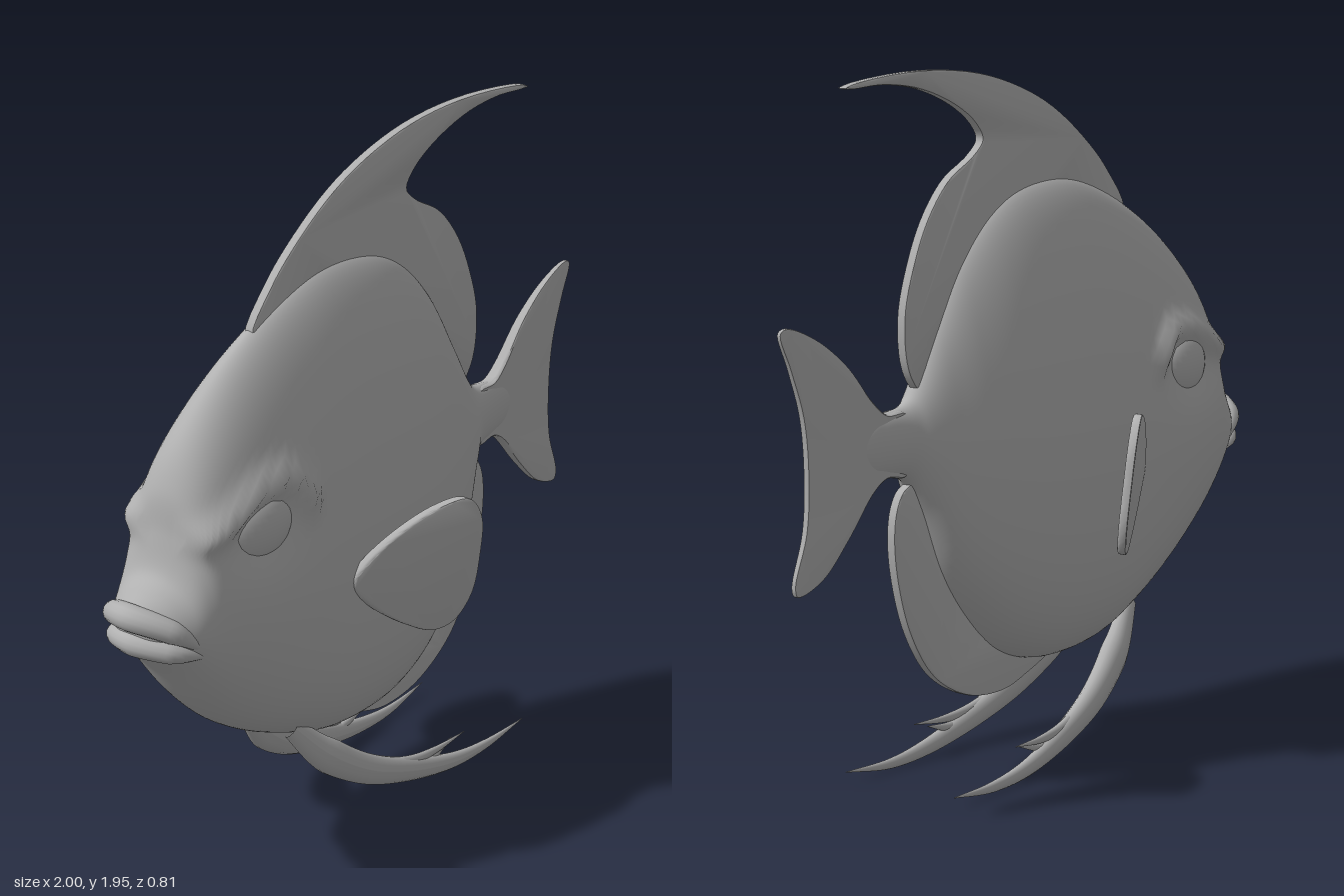
import * as THREE from 'three';
import { toCreasedNormals } from 'three/addons/utils/BufferGeometryUtils.js';

const V = (x, y, z = 0) => new THREE.Vector3(x, y, z);
const clamp01 = (t) => Math.min(1, Math.max(0, t));

export function createModel() {
  const model = new THREE.Group();
  const skin = new THREE.MeshStandardMaterial({ color: 0xb0b0b0 });
  skin.name = 'grey skin';
  const add = (name, geometry) => {
    const mesh = new THREE.Mesh(geometry, skin);
    mesh.name = name;
    model.add(mesh);
    return mesh;
  };

  // Tube whose radius follows a list, squashed across z if wanted
  const taperedTube = (pts, radii, squash = 1) => {
    const curve = new THREE.CatmullRomCurve3(pts.map((p) => V(...p)));
    const n = 40, sides = 14;
    const geo = new THREE.TubeGeometry(curve, n, 1, sides);
    const pos = geo.attributes.position;
    for (let i = 0; i <= n; i++) {
      const c = curve.getPointAt(i / n);
      const f = (i / n) * (radii.length - 1);
      const k = Math.min(Math.floor(f), radii.length - 2);
      const r = THREE.MathUtils.lerp(radii[k], radii[k + 1], f - k);
      for (let j = 0; j <= sides; j++) {
        const id = i * (sides + 1) + j;
        const d = V().fromBufferAttribute(pos, id).sub(c).multiplyScalar(r);
        pos.setXYZ(id, c.x + d.x, c.y + d.y, c.z + d.z * squash);
      }
    }
    geo.computeVertexNormals();
    return geo;
  };

  // Thin bevelled plate from a smooth outline; rule gives z from x, y, z
  const finPlate = (outline, rule = (x, y, z) => z) => {
    const curve = new THREE.CatmullRomCurve3(outline.map((p) => V(...p)), true);
    const pts = curve.getPoints(110).slice(0, -1).map((p) => new THREE.Vector2(p.x, p.y));
    const geo = new THREE.ExtrudeGeometry(new THREE.Shape(pts), {
      depth: 0.014, bevelThickness: 0.008, bevelSize: 0.005, bevelOffset: -0.005, bevelSegments: 2,
    });
    geo.translate(0, 0, -0.007);
    const pos = geo.attributes.position;
    for (let i = 0; i < pos.count; i++) pos.setZ(i, rule(pos.getX(i), pos.getY(i), pos.getZ(i)));
    geo.computeVertexNormals();
    return toCreasedNormals(geo, 0.7);
  };

  // Body sections: top x, y, bottom x, y, half width, roundness
  const sections = [
    [-0.965, 0.86, -0.965, 0.86, 0, 1],
    [-0.95, 0.91, -0.95, 0.8, 0.06, 1],
    [-0.91, 0.945, -0.91, 0.75, 0.11, 1],
    [-0.865, 0.985, -0.86, 0.69, 0.145, 1],
    [-0.84, 1.08, -0.78, 0.58, 0.165, 1],
    [-0.82, 1.2, -0.68, 0.48, 0.18, 1],
    [-0.75, 1.325, -0.55, 0.395, 0.195, 0.8],
    [-0.6, 1.46, -0.42, 0.335, 0.205, 0.4],
    [-0.4, 1.57, -0.28, 0.285, 0.213, 0.1],
    [-0.2, 1.63, -0.14, 0.268, 0.215, 0],
    [0, 1.62, 0, 0.28, 0.21, 0],
    [0.15, 1.555, 0.14, 0.34, 0.19, 0],
    [0.28, 1.43, 0.27, 0.46, 0.15, 0],
    [0.38, 1.27, 0.37, 0.6, 0.11, 0.2],
    [0.46, 1.13, 0.45, 0.78, 0.075, 0.6],
    [0.51, 1.08, 0.51, 0.87, 0.05, 1],
    [0.6, 1.065, 0.6, 0.895, 0.035, 1],
    [0.66, 1.05, 0.66, 0.91, 0.025, 1],
    [0.74, 0.98, 0.74, 0.98, 0, 1],
  ];
  const topLine = new THREE.CatmullRomCurve3(sections.map((s) => V(s[0], s[1], s[4])), false, 'catmullrom');
  const lowLine = new THREE.CatmullRomCurve3(sections.map((s) => V(s[2], s[3], s[5])), false, 'catmullrom');
  const brow = new THREE.CatmullRomCurve3(
    [[-0.82, 1.085], [-0.75, 1.11], [-0.62, 1.165], [-0.5, 1.165], [-0.44, 1.1]].map((p) => V(...p))).getPoints(40);

  // Narrow back, full belly
  const flank = (s) => (s < 0.61
    ? Math.pow(1 - Math.pow(clamp01(1 - s / 0.61), 1.5), 0.6)
    : Math.sqrt(clamp01(1 - Math.pow((s - 0.61) / 0.39, 3.2))));

  const rings = 144, around = 96, verts = [], faces = [];
  for (let i = 0; i <= rings; i++) {
    const a = topLine.getPoint(i / rings), b = lowLine.getPoint(i / rings);
    for (let j = 0; j < around; j++) {
      const phi = (j / around) * Math.PI * 2;
      const s = (1 - Math.cos(phi)) / 2, side = Math.sign(Math.sin(phi));
      const x = THREE.MathUtils.lerp(a.x, b.x, s), y = THREE.MathUtils.lerp(a.y, b.y, s);
      let z = Math.max(0, a.z) * THREE.MathUtils.lerp(flank(s), Math.abs(Math.sin(phi)), clamp01(b.z));
      // Raised brow ridge and eye socket
      if (x < -0.3 && y > 0.85 && z > 0.05) {
        const d = Math.min(...brow.map((p) => Math.hypot(p.x - x, p.y - y)));
        z += 0.036 * Math.exp(-((d / 0.035) ** 2));
        z -= 0.03 * Math.exp(-(((x + 0.62) / 0.14) ** 2) - ((y - 1.05) / 0.09) ** 2);
      }
      verts.push(x, y, z * (j % (around / 2) === 0 ? 0 : side));
      if (i < rings) {
        const k = (j + 1) % around, p = i * around, q = p + around;
        faces.push(p + j, p + k, q + j, p + k, q + k, q + j);
      }
    }
  }
  const body = new THREE.BufferGeometry();
  body.setAttribute('position', new THREE.Float32BufferAttribute(verts, 3));
  body.setIndex(faces);
  body.computeVertexNormals();
  add('body', body);

  // Pouting lips
  add('upperLip', taperedTube([[-0.83, 0.785, -0.14], [-0.91, 0.855, -0.105], [-0.962, 0.888, 0],
    [-0.91, 0.855, 0.105], [-0.83, 0.785, 0.14]], [0.005, 0.032, 0.037, 0.032, 0.005]));
  add('lowerLip', taperedTube([[-0.83, 0.77, -0.14], [-0.905, 0.795, -0.105], [-0.948, 0.81, 0],
    [-0.905, 0.795, 0.105], [-0.83, 0.77, 0.14]], [0.005, 0.03, 0.035, 0.03, 0.005]));

  // Fins on the centre line
  add('dorsalFin', finPlate([[-0.48, 1.52], [-0.4, 1.635], [-0.3, 1.725], [-0.15, 1.825], [0, 1.89], [0.2, 1.94],
    [0.45, 1.957], [0.72, 1.935], [0.745, 1.926], [0.72, 1.922], [0.6, 1.927], [0.45, 1.91], [0.3, 1.86],
    [0.21, 1.805], [0.18, 1.76], [0.22, 1.72], [0.33, 1.66], [0.42, 1.56], [0.48, 1.44], [0.515, 1.32],
    [0.51, 1.2], [0.485, 1.14], [0.45, 1.11], [0.3, 1.25], [0, 1.45], [-0.3, 1.5]]));
  add('analFin', finPlate([[-0.14, 0.29], [0, 0.225], [0.1, 0.205], [0.25, 0.225], [0.4, 0.31], [0.5, 0.45],
    [0.555, 0.62], [0.565, 0.74], [0.55, 0.81], [0.52, 0.85], [0.47, 0.86], [0.35, 0.7], [0.1, 0.42]]));
  add('tailFin', finPlate([[0.52, 1.06], [0.6, 1.068], [0.65, 1.105], [0.75, 1.215], [0.87, 1.3], [0.975, 1.337],
    [0.997, 1.325], [0.96, 1.23], [0.915, 1.1], [0.9, 0.95], [0.91, 0.8], [0.955, 0.665], [0.945, 0.638],
    [0.85, 0.665], [0.75, 0.755], [0.65, 0.865], [0.6, 0.893], [0.52, 0.89]],
  (x, y, z) => z * (1.6 - 1.2 * clamp01((x - 0.55) / 0.45))));

  // Paired parts
  for (const [label, m] of [['left', 1], ['right', -1]]) {
    const eye = add(label === 'left' ? 'frontEye' : 'backEye', new THREE.SphereGeometry(1, 32, 20));
    eye.scale.set(0.125, 0.1, 0.065);
    eye.position.set(-0.61, 1.055, m * 0.118);
    eye.rotation.y = m * -0.12;

    add(label + 'PectoralFin', finPlate([[-0.31, 0.8], [-0.28, 0.86], [-0.2, 0.94], [-0.1, 1], [-0.03, 1.01],
      [0.01, 0.95], [0.02, 0.83], [0.01, 0.7], [-0.03, 0.625], [-0.08, 0.608], [-0.15, 0.64], [-0.25, 0.72]],
    (x, y, z) => m * (0.21 + (x + 0.29) * 0.55 + (y - 0.8) * 0.13) + z));

    // Trailing pelvic fin with two spurs
    add(label + 'PelvicFin', taperedTube([[-0.42, 0.37, m * 0.08], [-0.32, 0.26, m * 0.11], [-0.17, 0.155, m * 0.14],
      [0, 0.085, m * 0.16], [0.2, 0.033, m * 0.175], [0.36, 0.02, m * 0.18], [0.54, 0.037, m * 0.19]],
    [0.03, 0.052, 0.045, 0.036, 0.026, 0.015, 0.001], 0.7));
    add(label + 'PelvicSpur', taperedTube([[-0.15, 0.155, m * 0.14], [0, 0.108, m * 0.16], [0.12, 0.098, m * 0.17],
      [0.255, 0.108, m * 0.18]], [0.005, 0.02, 0.012, 0.001], 0.7));
    add(label + 'PelvicBarb', taperedTube([[0, 0.075, m * 0.16], [0.1, 0.07, m * 0.165], [0.22, 0.098, m * 0.16]],
      [0.005, 0.015, 0.001], 0.7));
  }
  return model;
}
